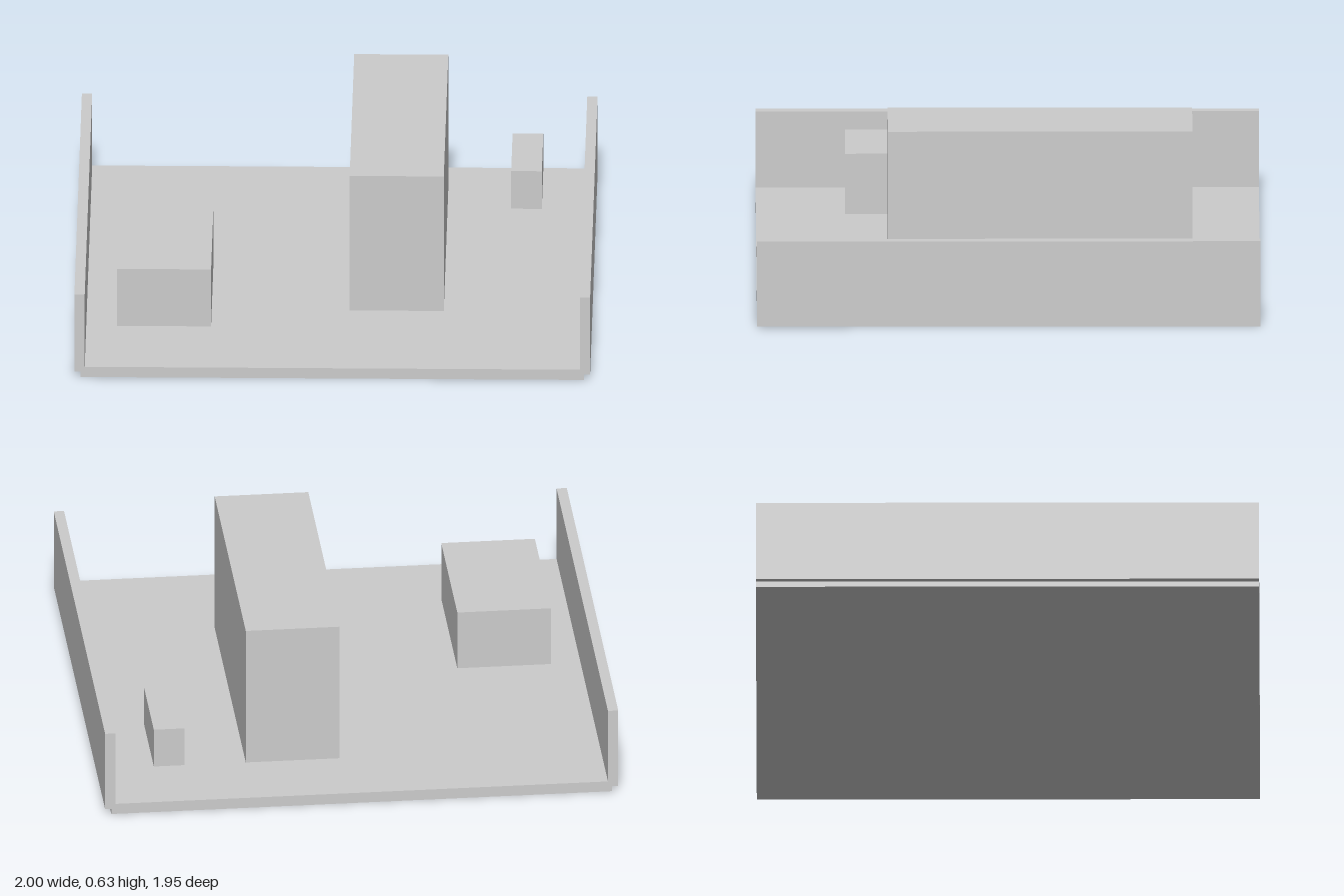
import * as THREE from 'three';

const material = new THREE.MeshStandardMaterial({ color: 0xcccccc, flatShading: true });

// Box given by its [min, max] extent along each axis
function block(name, [x0, x1], [y0, y1], [z0, z1]) {
  const mesh = new THREE.Mesh(new THREE.BoxGeometry(x1 - x0, y1 - y0, z1 - z0), material);
  mesh.name = name;
  mesh.position.set((x0 + x1) / 2, (y0 + y1) / 2, (z0 + z1) / 2);
  return mesh;
}

export function createModel() {
  const group = new THREE.Group();
  group.name = 'trayWithBlocks';
  const depth = [-0.976, 0.976];

  // Tray: floor plate with a raised wall along each side, open front and back
  group.add(block('floor', [-0.976, 0.976], [0, 0.043], depth));
  group.add(block('leftWall', [0.96, 1], [0.022, 0.348], depth));
  group.add(block('rightWall', [-1, -0.96], [0.022, 0.348], depth));

  // Blocks floating just above the floor
  group.add(block('lowBlock', [-0.84, -0.475], [0.066, 0.307], [0.02, 0.63]));
  group.add(block('tallBlock', [0.06, 0.425], [0.066, 0.635], [-0.714, 0.467]));
  group.add(block('smallBlock', [0.673, 0.792], [0.108, 0.267], [-0.797, -0.432]));

  return group;
}
